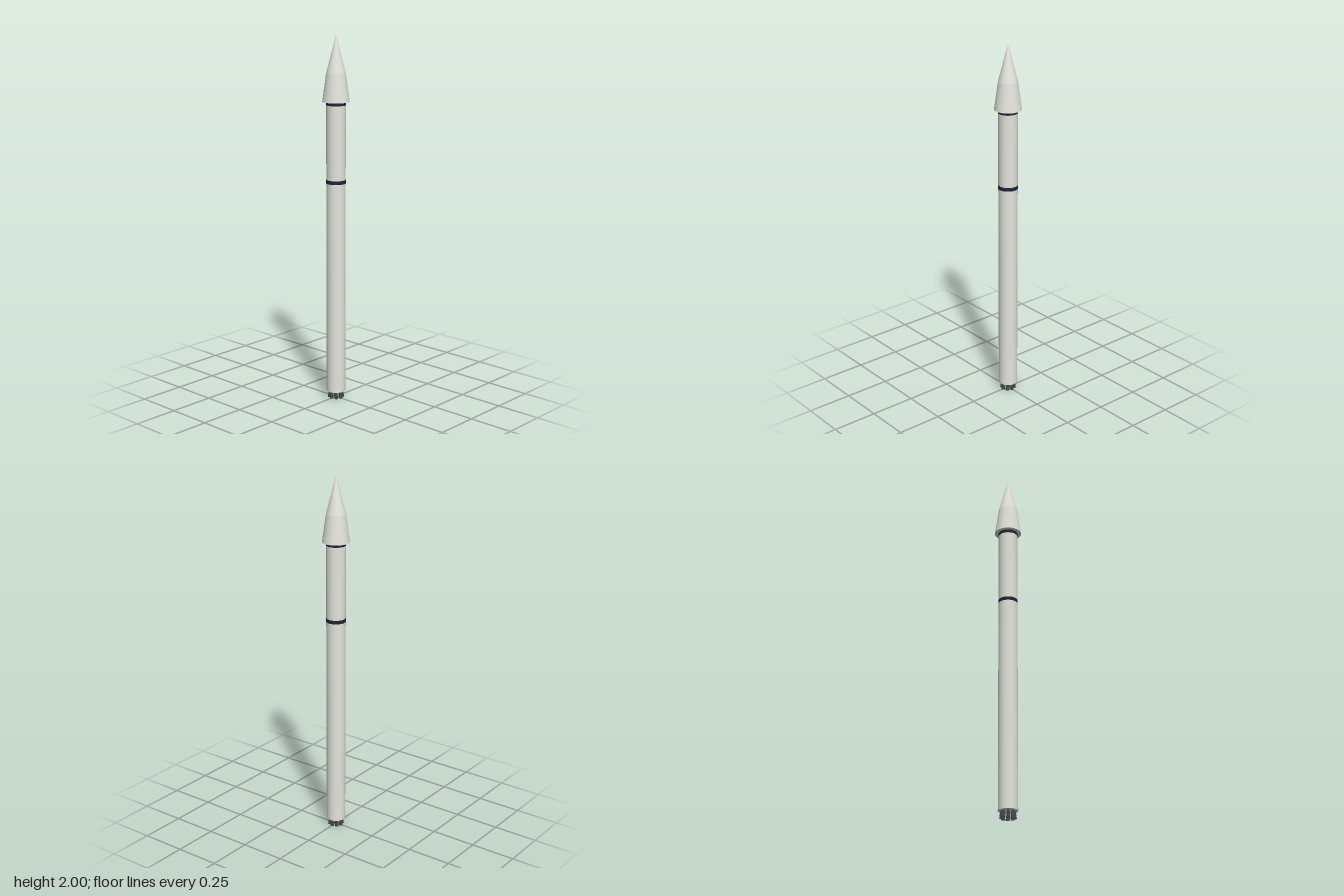
import * as THREE from 'three';

const SEGMENTS = 48;

export function createModel() {
  const material = (name, color) => {
    const m = new THREE.MeshStandardMaterial({ color });
    m.name = name;
    return m;
  };
  const hullPaint = material('hull off-white', 0xe3e4dc);
  const bandPaint = material('band navy', 0x1b2739);
  const engineMetal = material('engine dark grey', 0x40464b);
  engineMetal.side = THREE.DoubleSide;

  const rocket = new THREE.Group();
  rocket.name = 'rocket';

  // Round section between two heights, added to the rocket
  const section = (name, bottomRadius, topRadius, y0, y1, mat) => {
    const geometry = new THREE.CylinderGeometry(topRadius, bottomRadius, y1 - y0, SEGMENTS);
    const mesh = new THREE.Mesh(geometry, mat);
    mesh.name = name;
    mesh.position.y = (y0 + y1) / 2;
    rocket.add(mesh);
  };

  // Stages with dark separation bands
  section('firstStage', 0.052, 0.052, 0.04, 1.212, hullPaint);
  section('stageBand', 0.0525, 0.0525, 1.212, 1.232, bandPaint);
  section('secondStage', 0.052, 0.052, 1.232, 1.632, hullPaint);
  section('fairingBand', 0.0525, 0.0525, 1.632, 1.65, bandPaint);

  // Payload fairing: flared skirt, then a pointed tip
  section('fairingSkirt', 0.073, 0.052, 1.65, 1.8, hullPaint);
  const tip = new THREE.Mesh(new THREE.ConeGeometry(0.052, 0.2, SEGMENTS, 1, true), hullPaint);
  tip.name = 'noseTip';
  tip.position.y = 1.9;
  rocket.add(tip);

  // Engine cluster: one central bell and a ring of eight, open at the bottom
  const bellProfile = [[0.0105, 0], [0.0095, 0.012], [0.0075, 0.026], [0.005, 0.042]]
    .map(([r, y]) => new THREE.Vector2(r, y));
  const bellGeometry = new THREE.LatheGeometry(bellProfile, 20);
  const engines = new THREE.Group();
  engines.name = 'engines';
  const addBell = (name, x, z) => {
    const bell = new THREE.Mesh(bellGeometry, engineMetal);
    bell.name = name;
    bell.position.set(x, 0, z);
    engines.add(bell);
  };
  addBell('centreEngine', 0, 0);
  for (let i = 0; i < 8; i++) {
    const a = (i / 8) * Math.PI * 2;
    addBell('ringEngine' + (i + 1), Math.cos(a) * 0.034, Math.sin(a) * 0.034);
  }
  rocket.add(engines);

  return rocket;
}
